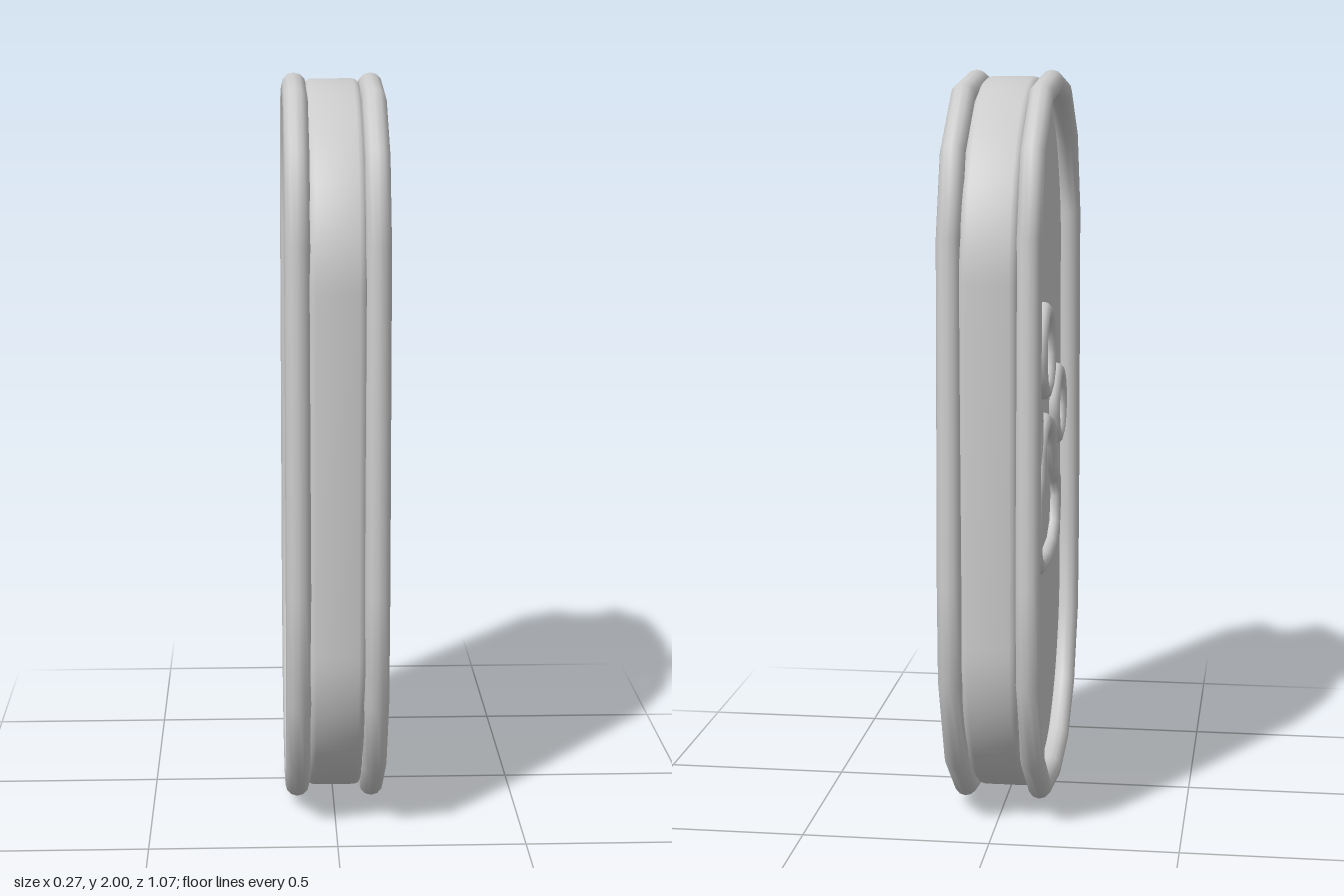
import * as THREE from 'three';
import { toCreasedNormals } from 'three/addons/utils/BufferGeometryUtils.js';

const material = new THREE.MeshStandardMaterial({ color: 0xcccccc });

// Closed round bead with mitred corners, lying in the plane x = depth; points are [z, y]
function beadGeometry(points, radius, depth, sides = 12) {
  const pts = points.map(([z, y]) => new THREE.Vector2(z, y));
  const n = pts.length, position = [], index = [];
  pts.forEach((p, i) => {
    const a = p.clone().sub(pts[(i + n - 1) % n]).normalize();
    const b = pts[(i + 1) % n].clone().sub(p).normalize();
    const t = a.clone().add(b).normalize();
    const miter = 1 / Math.max(0.6, t.dot(a));
    for (let j = 0; j < sides; j++) {
      const angle = (j / sides) * Math.PI * 2;
      const out = Math.cos(angle) * radius * miter;
      position.push(depth + Math.sin(angle) * radius, p.y - t.x * out, p.x + t.y * out);
      const k = (j + 1) % sides, next = ((i + 1) % n) * sides;
      index.push(i * sides + j, i * sides + k, next + j);
      index.push(i * sides + k, next + k, next + j);
    }
  });
  const geometry = new THREE.BufferGeometry();
  geometry.setAttribute('position', new THREE.Float32BufferAttribute(position, 3));
  geometry.setIndex(index);
  geometry.computeVertexNormals();
  return geometry;
}

function circlePoints(z, y, r, count = 14) {
  return Array.from({ length: count }, (_, i) => {
    const a = (i / count) * Math.PI * 2;
    return [z + r * Math.sin(a), y + r * Math.cos(a)];
  });
}

// Centre lines as [z, y]
const rimPath = [
  [0.02, 1.967], [-0.225, 1.938], [-0.405, 1.8], [-0.478, 1.588], [-0.497, 0.69],
  [-0.488, 0.433], [-0.39, 0.196], [-0.223, 0.065], [0.02, 0.033], [0.213, 0.066],
  [0.376, 0.183], [0.483, 0.39], [0.502, 0.69], [0.488, 1.588], [0.402, 1.81], [0.228, 1.938],
];
const padPath = [
  [-0.01, 1.045], [-0.1, 1.024], [-0.156, 0.97], [-0.167, 0.907], [-0.235, 0.865],
  [-0.251, 0.78], [-0.22, 0.701], [-0.145, 0.664], [-0.01, 0.653], [0.13, 0.664],
  [0.209, 0.706], [0.235, 0.786], [0.22, 0.844], [0.151, 0.892], [0.135, 0.96], [0.082, 1.019],
];
const toes = [
  ['middleToe', -0.01, 1.24, 0.112],
  ['frontToe', 0.29, 1.045, 0.095],
  ['backToe', -0.305, 1.06, 0.097],
];

export function createModel() {
  const model = new THREE.Group();
  const add = (name, geometry, parent = model) => {
    const mesh = new THREE.Mesh(geometry, material);
    mesh.name = name;
    parent.add(mesh);
  };

  // Pill-shaped plate with rounded edges
  const r = 0.47, h = 0.473;
  const pill = new THREE.Shape();
  pill.absarc(0, 1 + h, r, 0, Math.PI, false);
  pill.absarc(0, 1 - h, r, Math.PI, Math.PI * 2, false);
  pill.closePath();
  const plate = new THREE.ExtrudeGeometry(pill, {
    depth: 0.11, bevelThickness: 0.025, bevelSize: 0.04, bevelSegments: 4, curveSegments: 32,
  });
  plate.translate(0, 0, -0.055).rotateY(-Math.PI / 2);
  add('plate', toCreasedNormals(plate, 0.6));

  // Rim and raised paw outline on each face
  for (const side of [1, -1]) {
    const face = new THREE.Group();
    face.name = side > 0 ? 'leftFace' : 'rightFace';
    model.add(face);
    add('rim', beadGeometry(rimPath, 0.033, side * 0.102), face);
    add('pawPad', beadGeometry(padPath, 0.023, side * 0.086), face);
    for (const [name, z, y, radius] of toes) {
      add(name, beadGeometry(circlePoints(z, y, radius), 0.023, side * 0.086), face);
    }
  }
  return model;
}
